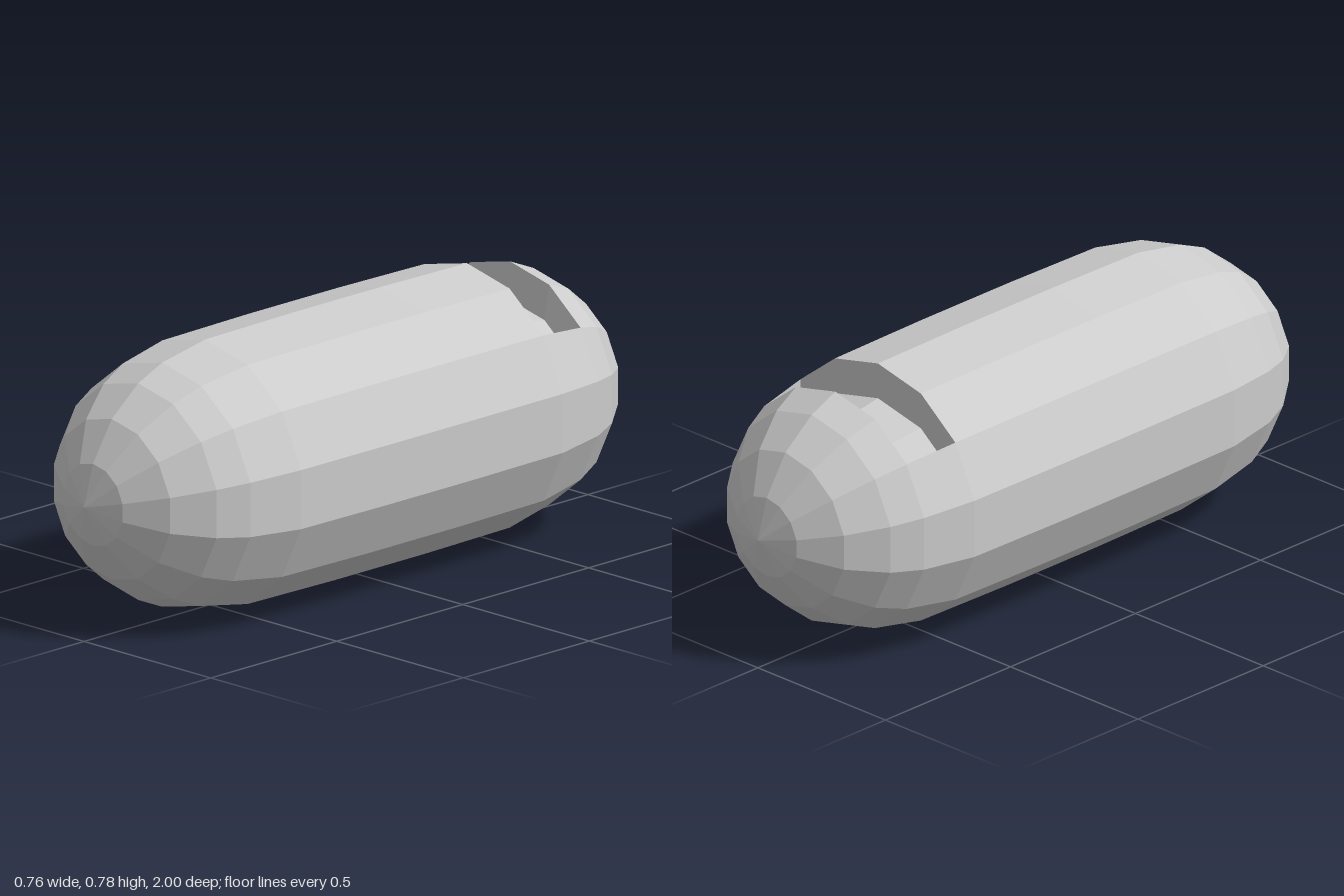
import * as THREE from 'three';

const SIDES = 14;
const AXIS_Y = 0.392;
// [z, radius] of each ring, back tip to front tip
const half = [[1, 0], [0.965, 0.12], [0.89, 0.235], [0.785, 0.317], [0.69, 0.357], [0.52, 0.388], [0.18, 0.392]];
const RINGS = [...half.map(([z, r]) => [-z, r]), ...half.slice().reverse()];
// The notch replaces the four top facets between rings 4 and 5
const NOTCH_RING = 4, NOTCH_FROM = -2, NOTCH_TO = 2;

// Point on ring i at corner j, counted from the top towards +x
function point(i, j) {
  const [z, r] = RINGS[i];
  const a = (j * 2 * Math.PI) / SIDES;
  return [r * Math.sin(a), AXIS_Y + r * Math.cos(a), z];
}

// Same point sunk to the notch floor; the back edge leans forward
function sunk(i, j) {
  const [x, y, z] = point(i, j);
  return i === NOTCH_RING ? [x, y - 0.1, z + 0.018] : [x, y - 0.107, z];
}

function facetMesh(name, quads) {
  const pos = [];
  for (const [a, b, c, d] of quads) pos.push(...a, ...b, ...c, ...a, ...c, ...d);
  const geometry = new THREE.BufferGeometry();
  geometry.setAttribute('position', new THREE.Float32BufferAttribute(pos, 3));
  geometry.computeVertexNormals();
  const mesh = new THREE.Mesh(geometry, new THREE.MeshStandardMaterial({ color: 0xcccccc, flatShading: true }));
  mesh.name = name;
  return mesh;
}

// Outward facing facet between two rings
const facet = (p, i, j) => [p(i, j), p(i + 1, j), p(i + 1, j + 1), p(i, j + 1)];

export function createModel() {
  const group = new THREE.Group();
  group.name = 'capsule';

  // Capsule shell with the notch facets left out
  const shell = [];
  for (let i = 0; i < RINGS.length - 1; i++) {
    for (let j = -SIDES / 2; j < SIDES / 2; j++) {
      const open = i === NOTCH_RING && j >= NOTCH_FROM && j < NOTCH_TO;
      if (!open) shell.push(facet(point, i, j));
    }
  }
  group.add(facetMesh('shell', shell));

  // Notch floor and walls
  const floor = [], walls = [];
  const b = NOTCH_RING, f = NOTCH_RING + 1;
  for (let j = NOTCH_FROM; j < NOTCH_TO; j++) {
    floor.push(facet(sunk, b, j));
    walls.push([point(f, j), point(f, j + 1), sunk(f, j + 1), sunk(f, j)]);
    walls.push([point(b, j), sunk(b, j), sunk(b, j + 1), point(b, j + 1)]);
  }
  const side = (j) => [point(b, j), sunk(b, j), sunk(f, j), point(f, j)];
  walls.push(side(NOTCH_TO), side(NOTCH_FROM).reverse());
  group.add(facetMesh('notchFloor', floor), facetMesh('notchWalls', walls));

  return group;
}
